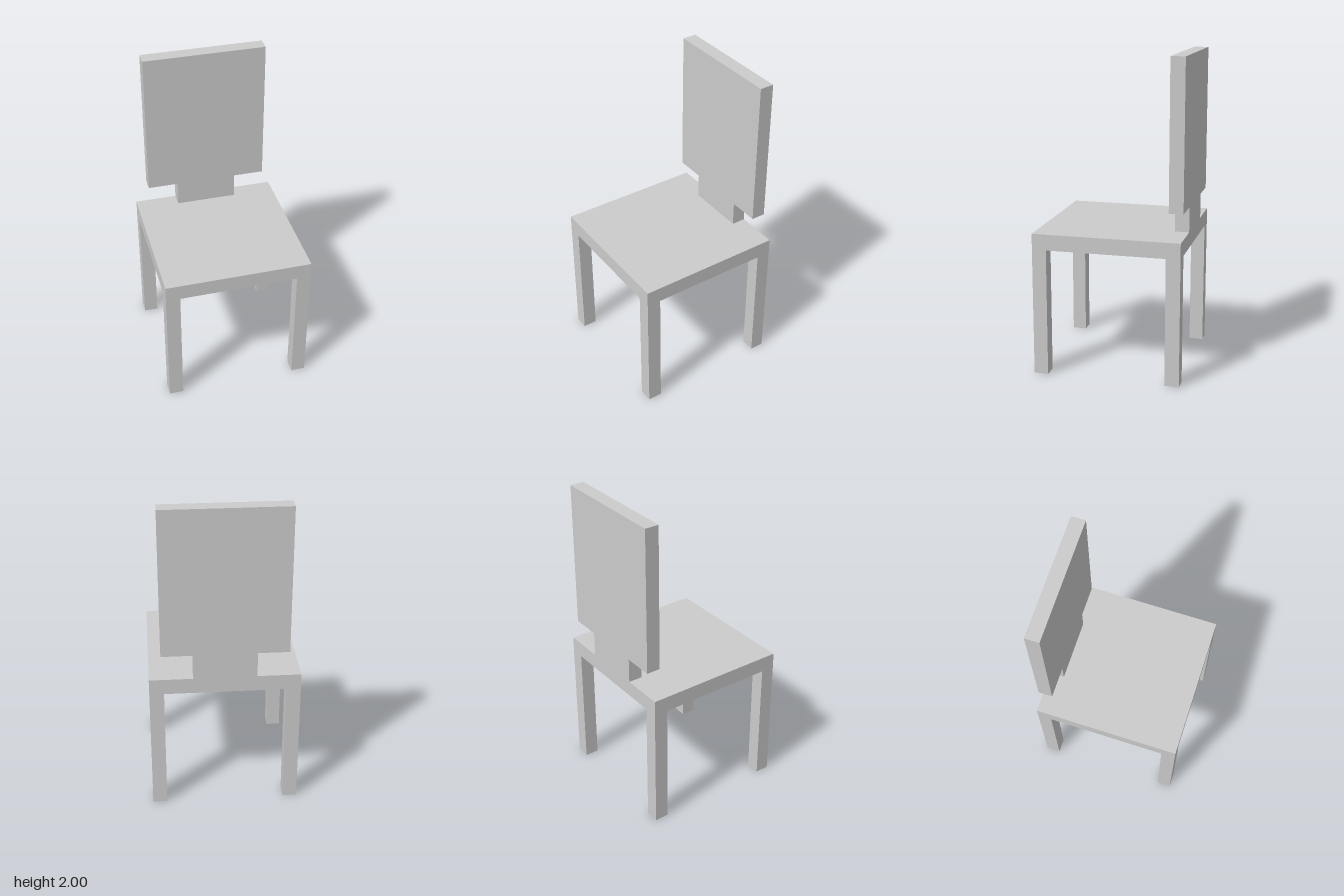
import * as THREE from 'three';

const material = new THREE.MeshStandardMaterial({ color: 0xcccccc, flatShading: true });

const WIDTH = 0.93;      // seat width and depth
const THICK = 0.09;      // legs and backrest
const SEAT_BOTTOM = 0.81;
const SEAT_TOP = 0.91;
const EDGE = 0.42;       // centre line of legs and backrest

function addPart(parent, name, geometry, x, y, z) {
  const mesh = new THREE.Mesh(geometry, material);
  mesh.name = name;
  mesh.position.set(x, y, z);
  parent.add(mesh);
}

export function createModel() {
  const chair = new THREE.Group();
  chair.name = 'chair';

  // Square seat slab
  addPart(chair, 'seat', new THREE.BoxGeometry(WIDTH, SEAT_TOP - SEAT_BOTTOM, WIDTH),
    0, (SEAT_TOP + SEAT_BOTTOM) / 2, 0);

  // Four square legs flush with the seat corners
  const leg = new THREE.BoxGeometry(THICK, SEAT_BOTTOM, THICK);
  for (const [endName, z] of [['front', EDGE], ['back', -EDGE]]) {
    for (const [sideName, x] of [['Left', EDGE], ['Right', -EDGE]]) {
      addPart(chair, `${endName}${sideName}Leg`, leg, x, SEAT_BOTTOM / 2, z);
    }
  }

  // Backrest: wide panel on a narrow neck, cut from one board
  const neck = 0.195, panel = 0.39, panelBottom = 1.07, top = 2;
  const outline = new THREE.Shape([
    [-neck, SEAT_TOP], [neck, SEAT_TOP], [neck, panelBottom], [panel, panelBottom],
    [panel, top], [-panel, top], [-panel, panelBottom], [-neck, panelBottom],
  ].map(([x, y]) => new THREE.Vector2(x, y)));
  const board = new THREE.ExtrudeGeometry(outline, { depth: THICK, bevelEnabled: false });
  addPart(chair, 'backrest', board, 0, 0, -WIDTH / 2);

  return chair;
}
